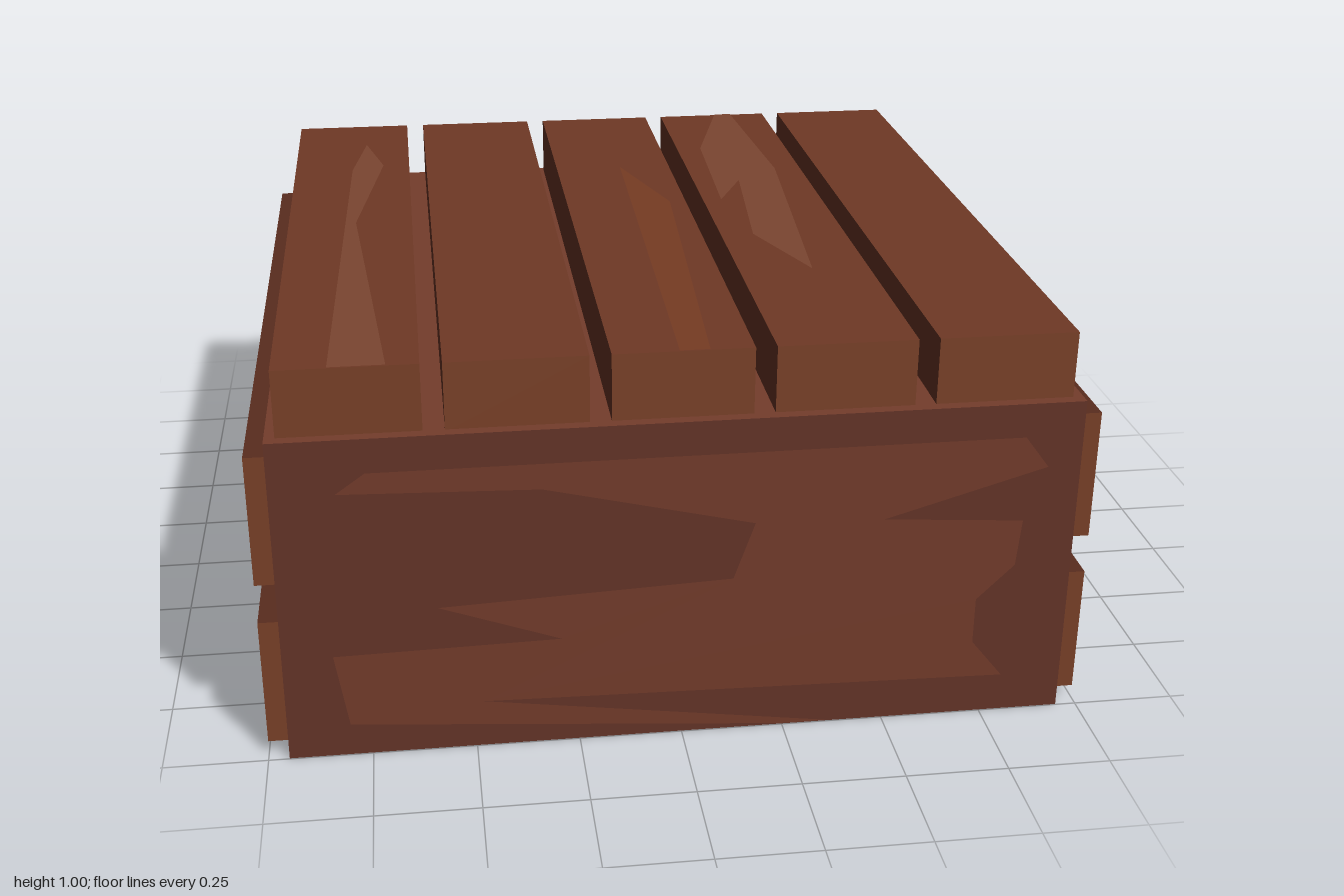
import * as THREE from 'three';

const mat = (color) => new THREE.MeshStandardMaterial({ color });

export function createModel() {
  const group = new THREE.Group();
  const broad = mat(0x6e3825), end = mat(0x7a4128), edge = mat(0x592c1e);
  const panel = mat(0x653428), panelLight = mat(0x733c2b);
  const grainLight = mat(0x7a4530), grainWarm = mat(0x763b22);

  // materials follow the box face order +x, -x, +y, -y, +z, -z
  function box(name, size, pos, materials) {
    const mesh = new THREE.Mesh(new THREE.BoxGeometry(...size), materials);
    mesh.position.set(...pos);
    mesh.name = name;
    group.add(mesh);
  }

  function patch(name, points, material) {
    const shape = new THREE.Shape(points.map(([x, y]) => new THREE.Vector2(x, y)));
    const mesh = new THREE.Mesh(new THREE.ShapeGeometry(shape), material);
    mesh.name = name;
    group.add(mesh);
    return mesh;
  }

  // crate body
  box('crateBody', [1.9, 0.835, 1.996], [0, 0.4175, 0],
    [panel, panel, panelLight, panel, panel, panel]);

  // five planks across the top
  for (let i = -2; i <= 2; i++) {
    box('topPlank', [0.33, 0.17, 1.94], [i * 0.38, 0.914, 0],
      [edge, edge, broad, broad, end, end]);
  }

  // two planks on each side
  for (const side of [-1, 1]) {
    for (const y of [0.198, 0.626]) {
      box('sidePlank', [0.06, 0.328, 1.94], [side * 0.97, y, 0],
        [broad, broad, edge, edge, end, end]);
    }
  }

  // worn wood pattern on the front and back panels
  const worn = [
    [-0.80, 0.70], [-0.73, 0.75], [0.81, 0.75], [0.87, 0.67], [0.48, 0.555],
    [0.82, 0.53], [0.81, 0.41], [0.72, 0.32], [0.72, 0.20], [0.80, 0.10],
    [-0.48, 0.125], [0.36, 0.003], [0.24, 0.003], [-0.80, 0.085], [-0.83, 0.275],
    [-0.29, 0.285], [-0.58, 0.39], [0.12, 0.42], [0.17, 0.565], [-0.33, 0.685],
  ];
  patch('frontWear', worn, panelLight).position.z = 1;
  const back = patch('backWear', worn.map(([x, y]) => [-x, y]), panelLight);
  back.rotation.y = Math.PI;
  back.position.z = -1;

  // grain streaks on the top planks, given as [x, z]
  const streaks = [
    [grainLight, [[-0.72, -0.76], [-0.67, -0.54], [-0.745, -0.02], [-0.67, 0.97],
      [-0.80, 0.97], [-0.76, -0.50]]],
    [grainWarm, [[0.02, -0.44], [0.12, -0.10], [0.06, 0.97], [-0.01, 0.97]]],
    [grainLight, [[0.39, -0.97], [0.44, -0.97], [0.47, -0.37], [0.40, 0.48],
      [0.30, 0.20], [0.345, -0.27], [0.265, -0.10], [0.285, -0.60]]],
  ];
  for (const [material, points] of streaks) {
    const streak = patch('grainStreak', points.map(([x, z]) => [x, -z]), material);
    streak.rotation.x = -Math.PI / 2;
    streak.position.y = 1.001;
  }

  return group;
}
